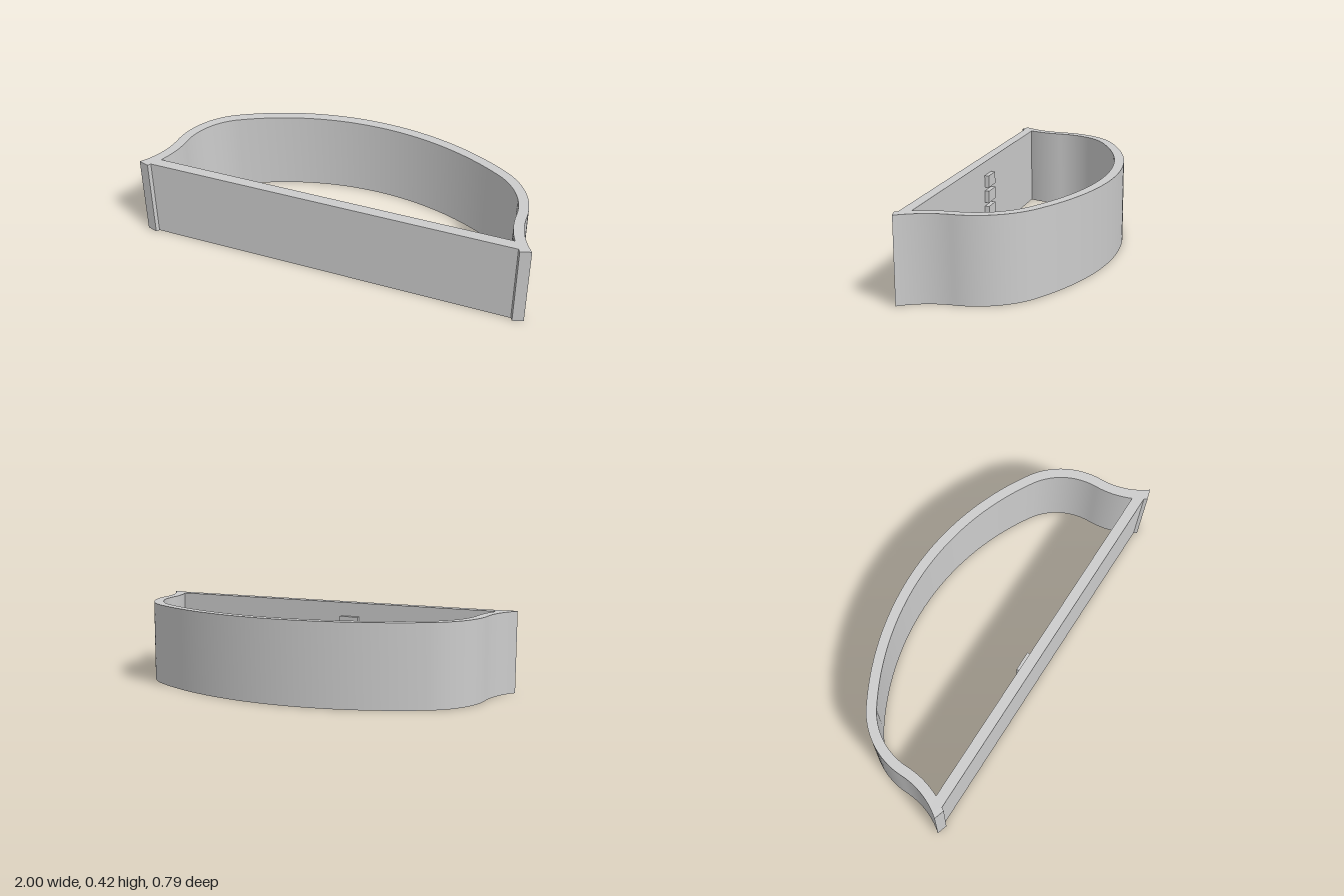
import * as THREE from 'three';
import { toCreasedNormals } from 'three/addons/utils/BufferGeometryUtils.js';

const HEIGHT = 0.417;
const CZ = 0.135; // z where the side walls run straight

// Points of an arc in plan; angle 0 points to the back, 90 to the model's left
function arc(cx, cz, r, from, to, steps) {
  return Array.from({ length: steps + 1 }, (_, i) => {
    const t = THREE.MathUtils.degToRad(from + (to - from) * i / steps);
    return new THREE.Vector2(cx + r * Math.sin(t), -(cz - r * Math.cos(t)));
  });
}

// Half of the bowed wall: wide back arc, tight shoulder, flared foot
function halfWall(inset, flareRadius, flareAngle) {
  const foot = 0.915 - inset + flareRadius;
  return [
    ...arc(0, 1.027, 1.42 - inset, 0, 30.96, 20),
    ...arc(0.535, CZ, 0.38 - inset, 30.96, 90, 20).slice(1),
    ...arc(foot, CZ, flareRadius, 270, 270 - flareAngle, 14).slice(1),
  ];
}

// Close a half outline by mirroring it in x
function mirrored(half) {
  const other = half.slice(1).reverse().map(p => new THREE.Vector2(-p.x, p.y));
  return [...half, ...other];
}

export function createModel() {
  const model = new THREE.Group();
  const grey = new THREE.MeshStandardMaterial({ color: 0xcccccc });
  grey.name = 'lightGrey';

  // Bowed wall and straight front panel in one open-ended frame
  const outer = halfWall(0, 0.391, 38.2);
  outer.push(new THREE.Vector2(0.946, -0.393), new THREE.Vector2(0.936, -0.377));
  const frame = new THREE.Shape(mirrored(outer));
  // The hole runs the other way round, so its walls face inwards
  frame.holes.push(new THREE.Path(mirrored(halfWall(0.05, 0.451, 24.9)).reverse()));
  const geometry = new THREE.ExtrudeGeometry(frame, { depth: HEIGHT, bevelEnabled: false });
  geometry.rotateX(-Math.PI / 2);
  const wall = new THREE.Mesh(toCreasedNormals(geometry, Math.PI / 7), grey);
  wall.name = 'curvedWallAndFrontPanel';
  model.add(wall);

  // Column of small blocks on the inside of the front panel
  const blocks = new THREE.Group();
  blocks.name = 'innerBlocks';
  for (let i = 0; i < 4; i++) {
    const block = new THREE.Mesh(new THREE.BoxGeometry(0.102, 0.062, 0.03), grey);
    block.name = 'innerBlock';
    block.position.set(-0.114, 0.068 + i * 0.082, 0.317);
    blocks.add(block);
  }
  model.add(blocks);
  return model;
}
